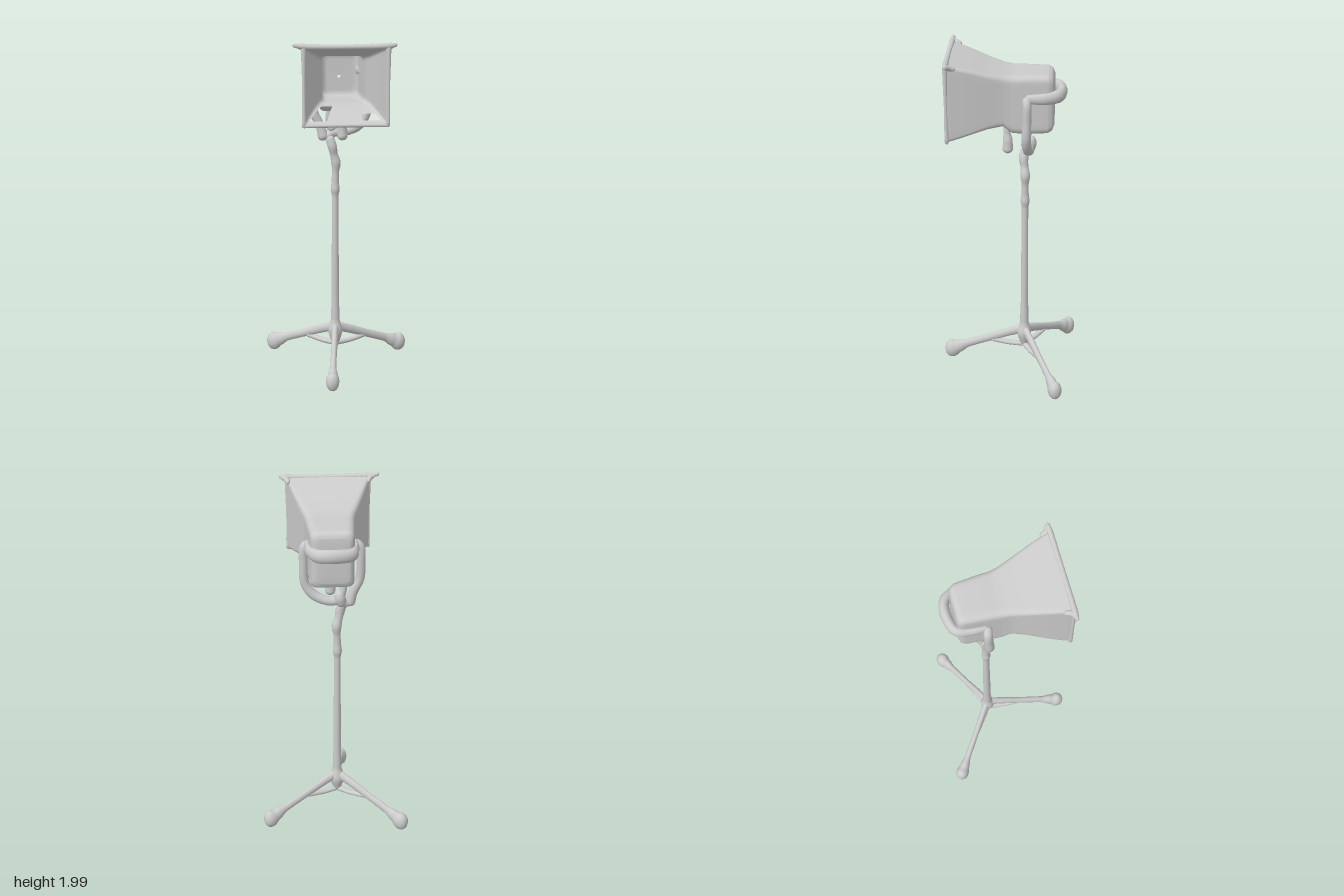
import * as THREE from 'three';
import { mergeVertices } from 'three/addons/utils/BufferGeometryUtils.js';

const material = new THREE.MeshStandardMaterial({ color: 0xcccccc, side: THREE.DoubleSide });

// Weld a geometry so that its shading is smooth across seams
function weld(geo) {
  geo.deleteAttribute('uv');
  geo.deleteAttribute('normal');
  const out = mergeVertices(geo, 1e-5);
  out.computeVertexNormals();
  return out;
}

function add(group, name, geo) {
  const mesh = new THREE.Mesh(geo, material);
  mesh.name = name;
  group.add(mesh);
  return mesh;
}

// Round-ended limb through points [x, y, z, radius]; stretch scales its height
function limb(points, stretch = 1, segs = 72, sides = 14) {
  const curve = new THREE.CatmullRomCurve3(points.map(p => new THREE.Vector3(p[0], p[1], p[2])), false, 'centripetal');
  const geo = new THREE.TubeGeometry(curve, segs, 1, sides);
  const pos = geo.attributes.position, v = new THREE.Vector3();
  const length = curve.getLength(), last = points.length - 1;
  for (let i = 0; i <= segs; i++) {
    const u = i / segs, t = curve.getUtoTmapping(u) * last;
    const k = Math.min(Math.floor(t), last - 1);
    let r = THREE.MathUtils.lerp(points[k][3], points[k + 1][3], THREE.MathUtils.smoothstep(t - k, 0, 1));
    const d = Math.min(u, 1 - u) * length / r;
    if (d < 1) r *= Math.sqrt(Math.max(0, 1 - (1 - d) ** 2));
    const c = curve.getPointAt(u);
    for (let j = 0; j <= sides; j++) {
      const n = i * (sides + 1) + j;
      v.fromBufferAttribute(pos, n).sub(c).multiplyScalar(r);
      v.y *= stretch;
      v.add(c);
      pos.setXYZ(n, v.x, v.y, v.z);
    }
  }
  return weld(geo);
}

// Rounded rectangle ring, counter-clockwise seen from +z, starting on the lower right corner
const ARC = 4, SIDE = 12, RING = 4 * (ARC + SIDE);
function ring([z, x0, x1, y0, y1, r]) {
  const corners = [[x1 - r, y0 + r], [x1 - r, y1 - r], [x0 + r, y1 - r], [x0 + r, y0 + r]];
  const pts = [];
  corners.forEach(([cx, cy], q) => {
    const at = (c, a) => [c[0] + r * Math.cos(a), c[1] + r * Math.sin(a)];
    const a0 = (q - 1) * Math.PI / 2, a1 = q * Math.PI / 2;
    for (let i = 0; i < ARC; i++) pts.push([...at([cx, cy], a0 + (a1 - a0) * i / ARC), z]);
    const a = at([cx, cy], a1), b = at(corners[(q + 1) % 4], a1);
    for (let i = 0; i < SIDE; i++) pts.push([a[0] + (b[0] - a[0]) * i / SIDE, a[1] + (b[1] - a[1]) * i / SIDE, z]);
  });
  return pts;
}

// Hollow housing: outer skin from back to mouth, then inner skin to the back wall
function housing() {
  const outer = [ // z, x0, x1, y0, y1, corner radius
    [-0.263, 0.00, 0.02, 1.72, 1.74, 0.005],
    [-0.261, -0.08, 0.10, 1.60, 1.86, 0.03],
    [-0.25, -0.097, 0.12, 1.572, 1.884, 0.035],
    [-0.225, -0.107, 0.132, 1.56, 1.896, 0.035],
    [-0.1, -0.115, 0.145, 1.558, 1.897, 0.035],
    [-0.03, -0.12, 0.15, 1.565, 1.896, 0.035],
    [0.02, -0.128, 0.158, 1.608, 1.902, 0.03],
    [0.1, -0.155, 0.182, 1.60, 1.92, 0.025],
    [0.2, -0.19, 0.212, 1.575, 1.95, 0.02],
    [0.29, -0.219, 0.236, 1.552, 1.975, 0.018],
    [0.33, -0.228, 0.245, 1.543, 1.986, 0.018],
  ];
  const w = 0.016;
  const inner = outer.slice(3).reverse().map(([z, a, b, c, d, r]) =>
    [z, a + w, b - w, Math.max(c + w, z < 0 ? 1.62 : 0), d - w, r * 0.8]);
  inner.push([-0.226, 0.00, 0.02, 1.72, 1.74, 0.005]);
  const keys = [...outer, ...inner], sections = [];
  keys.forEach((s, i) => {
    const n = keys[i + 1];
    if (!n) return sections.push(s);
    for (let k = 0; k < 3; k++) sections.push(s.map((a, m) => a + (n[m] - a) * k / 3));
  });
  const pos = sections.flatMap(s => ring(s).flat()), index = [];
  const floor0 = 3 * (ARC + SIDE) + ARC;
  for (let i = 0; i < sections.length - 1; i++) {
    const z = (sections[i][0] + sections[i + 1][0]) / 2;
    for (let j = 0; j < RING; j++) {
      // two openings in the floor of the flare
      const f = j - floor0;
      const rightHole = f >= 0 && f < 3 && z > 0.05 && z < 0.29;
      const leftHole = f >= 9 && f < 12 && z > 0.16 && z < 0.29;
      if (rightHole || leftHole) continue;
      const a = i * RING + j, b = i * RING + (j + 1) % RING;
      index.push(a, b, b + RING, a, b + RING, a + RING);
    }
  }
  const geo = new THREE.BufferGeometry();
  geo.setAttribute('position', new THREE.Float32BufferAttribute(pos, 3));
  geo.setIndex(index);
  geo.computeVertexNormals();
  return geo;
}

export function createModel() {
  const model = new THREE.Group();
  model.name = 'floodlightOnStand';

  // Lamp head
  const head = new THREE.Group();
  head.name = 'lampHead';
  model.add(head);
  add(head, 'housing', housing());
  add(head, 'topLip', limb([[-0.283, 1.99, 0.322, 0.01], [-0.22, 1.982, 0.324, 0.016], [0, 1.978, 0.326, 0.014],
    [0.235, 1.982, 0.324, 0.016], [0.287, 1.988, 0.322, 0.01]]));
  add(head, 'bottomLip', limb([[-0.235, 1.548, 0.322, 0.011], [0, 1.55, 0.325, 0.011], [0.25, 1.548, 0.322, 0.011]]));
  for (const [name, x] of [['rightLip', -0.221], ['leftLip', 0.238]])
    add(head, name, limb([[x, 1.545, 0.322, 0.012], [x, 1.75, 0.325, 0.009], [x, 1.985, 0.325, 0.014]]));
  // Flared gussets under the upper lip corners
  for (const [name, x, s] of [['rightGusset', -0.215, -1], ['leftGusset', 0.232, 1]])
    add(head, name, limb([[x, 1.965, 0.27, 0.012], [x + s * 0.012, 1.975, 0.305, 0.016], [x + s * 0.045, 1.986, 0.32, 0.01]]));

  // Carrying handle wrapping around the back
  add(head, 'backHandle', limb([[-0.115, 1.77, -0.1, 0.018], [-0.112, 1.77, -0.2, 0.022], [-0.09, 1.772, -0.272, 0.027],
    [0.02, 1.778, -0.302, 0.029], [0.09, 1.775, -0.285, 0.028], [0.132, 1.77, -0.22, 0.024], [0.145, 1.77, -0.1, 0.018]], 1.4, 90));

  // Tilt grip hanging under the head
  add(head, 'tiltGrip', limb([[0.01, 1.62, 0.0, 0.018], [0.01, 1.53, 0.004, 0.02], [0.012, 1.47, 0.0, 0.028], [0.014, 1.4, 0.0, 0.031]]));

  // Yoke and its joint
  const yoke = new THREE.Group();
  yoke.name = 'yoke';
  model.add(yoke);
  add(yoke, 'rightArm', limb([[-0.105, 1.775, -0.105, 0.025], [-0.143, 1.75, -0.112, 0.024], [-0.15, 1.65, -0.11, 0.025],
    [-0.145, 1.55, -0.105, 0.026], [-0.11, 1.47, -0.105, 0.026], [-0.085, 1.38, -0.1, 0.032]]));
  add(yoke, 'leftArm', limb([[0.135, 1.775, -0.105, 0.025], [0.162, 1.75, -0.112, 0.024], [0.165, 1.65, -0.112, 0.025],
    [0.158, 1.53, -0.11, 0.026], [0.11, 1.46, -0.115, 0.028], [0.03, 1.425, -0.125, 0.026], [-0.04, 1.42, -0.115, 0.026],
    [-0.085, 1.385, -0.1, 0.03]]));
  add(yoke, 'innerStrut', limb([[-0.05, 1.59, -0.1, 0.02], [-0.055, 1.5, -0.11, 0.021], [-0.035, 1.43, -0.115, 0.024]]));
  add(yoke, 'jointKnob', limb([[-0.03, 1.49, -0.13, 0.022], [-0.035, 1.44, -0.13, 0.031], [-0.05, 1.39, -0.115, 0.03]]));

  // Telescopic pole with two clamp bulges
  const stand = new THREE.Group();
  stand.name = 'stand';
  model.add(stand);
  const px = -0.022, pz = -0.098;
  add(stand, 'pole', limb([[px, 0.13, pz, 0.022], [px, 0.22, pz, 0.042], [px, 0.3, pz, 0.026], [px, 0.45, pz, 0.022], [px, 1.04, pz, 0.019],
    [px, 1.09, pz, 0.026], [px, 1.14, pz, 0.021], [px + 0.002, 1.19, pz, 0.02], [px + 0.004, 1.25, pz, 0.028],
    [px - 0.008, 1.3, pz + 0.005, 0.023], [px - 0.018, 1.35, pz + 0.01, 0.027], [-0.06, 1.41, pz, 0.025]], 1, 200, 18));

  // Three legs with flared feet, each with a low brace back to the pole
  const feet = { frontLeg: [-0.073, 0.388], leftRearLeg: [0.42, -0.31], rightRearLeg: [-0.42, -0.385] };
  for (const [name, [fx, fz]] of Object.entries(feet)) {
    const at = (t, y, r) => [px + (fx - px) * t, y, pz + (fz - pz) * t, r];
    add(stand, name, limb([at(0, 0.245, 0.022), at(0.15, 0.222, 0.019), at(0.45, 0.163, 0.017), at(0.7, 0.115, 0.018),
      at(0.82, 0.088, 0.029), at(0.9, 0.07, 0.039), at(1, 0.064, 0.036)], 1.45));
    add(stand, name + 'Brace', limb([at(-0.03, 0.143, 0.018), at(0.18, 0.142, 0.016), at(0.42, 0.158, 0.016)], 0.9, 32));
  }
  return model;
}
